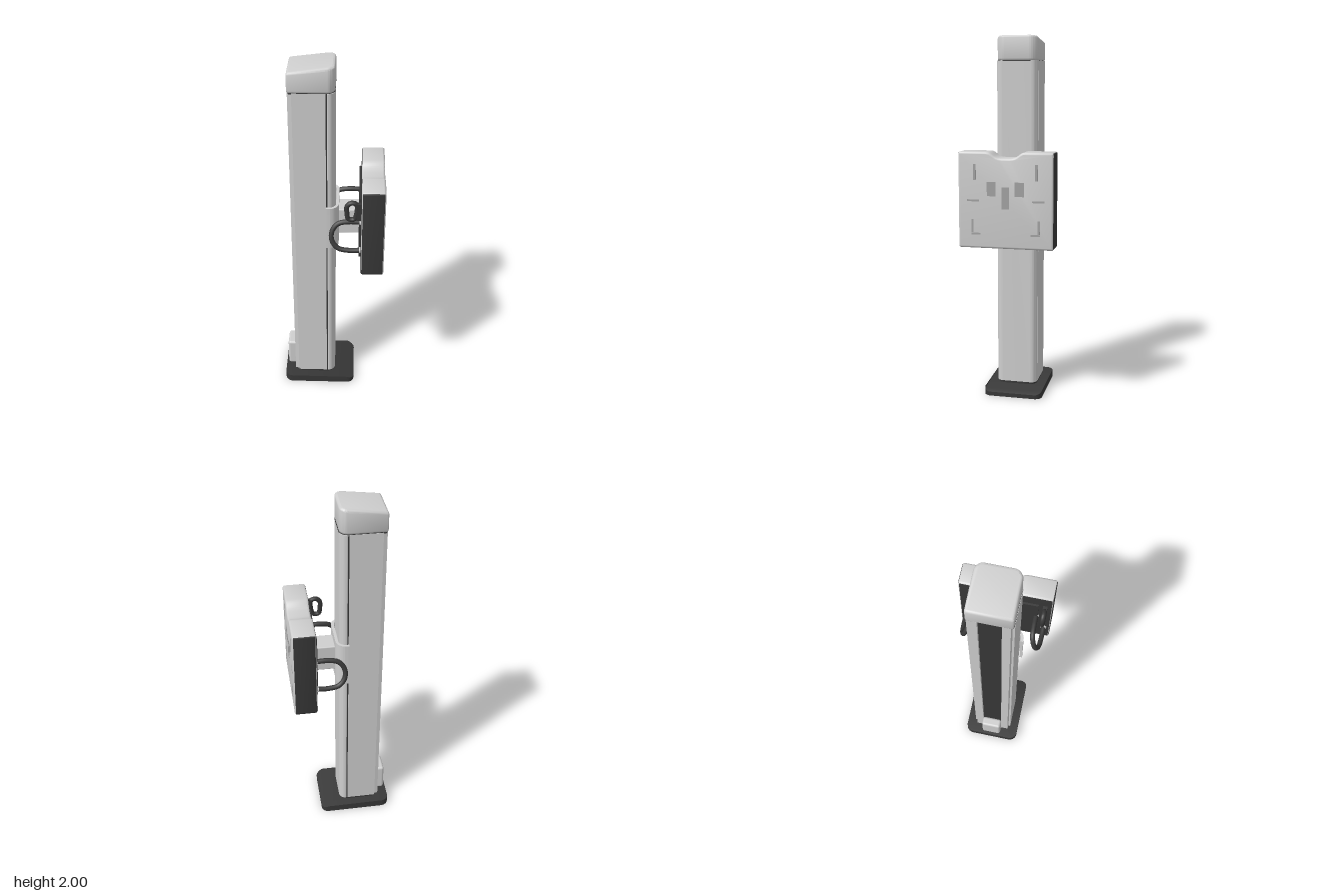
import * as THREE from 'three';
import { toCreasedNormals } from 'three/addons/utils/BufferGeometryUtils.js';
import { RoundedBoxGeometry } from 'three/addons/geometries/RoundedBoxGeometry.js';

const light = new THREE.MeshStandardMaterial({ color: 0xcfcfcf });
light.name = 'light grey paint';
const dark = new THREE.MeshStandardMaterial({ color: 0x383838 });
dark.name = 'dark grey plastic';
const mid = new THREE.MeshStandardMaterial({ color: 0xa4a4a4 });
mid.name = 'mid grey markings';

// Plan outline with separate corner radii at the -x and +x ends
function plan(x0, x1, w, rBack, rFront) {
  const s = new THREE.Shape();
  s.moveTo(x0 + rBack, -w);
  s.lineTo(x1 - rFront, -w);
  s.absarc(x1 - rFront, -w + rFront, rFront, -Math.PI / 2, 0);
  s.lineTo(x1, w - rFront);
  s.absarc(x1 - rFront, w - rFront, rFront, 0, Math.PI / 2);
  s.lineTo(x0 + rBack, w);
  s.absarc(x0 + rBack, w - rBack, rBack, Math.PI / 2, Math.PI);
  s.lineTo(x0, -w + rBack);
  s.absarc(x0 + rBack, -w + rBack, rBack, Math.PI, Math.PI * 1.5);
  return s;
}

// Extrude a plan outline upward between two heights, with an optional bevel
function rise(shape, y0, y1, bevel = 0) {
  const g = new THREE.ExtrudeGeometry(shape, {
    depth: y1 - y0 - 2 * bevel, curveSegments: 10, bevelEnabled: bevel > 0,
    bevelSize: bevel, bevelOffset: -bevel, bevelThickness: bevel, bevelSegments: 3,
  });
  return g.rotateX(-Math.PI / 2).translate(0, y0 + bevel, 0);
}

// Move each vertex height by a rule
function reshapeY(g, rule) {
  const p = g.attributes.position;
  for (let i = 0; i < p.count; i++) p.setY(i, rule(p.getX(i), p.getY(i)));
  return g;
}

export function createModel() {
  const model = new THREE.Group();
  const add = (name, geometry, material, x = 0, y = 0, z = 0) => {
    const m = new THREE.Mesh(geometry, material);
    m.name = name;
    m.position.set(x, y, z);
    model.add(m);
    return m;
  };
  const smooth = (g) => toCreasedNormals(g, 0.6);

  // Floor plate with a sloping toe, and the plinth under the column
  const base = reshapeY(rise(plan(-0.28, 0.13, 0.164, 0.045, 0.04), 0, 0.043),
    (x, y) => (y > 0.03 && x > 0.085 ? y - (x - 0.085) * 0.45 : y));
  add('basePlate', smooth(base), dark);
  add('columnPlinth', smooth(rise(plan(-0.2, 0.013, 0.112, 0.01, 0.045), 0.04, 0.056)), dark);

  // Column: rear channel section and rounded front section with a fine joint between
  const rear = new THREE.Shape();
  [[-0.032, -0.115], [-0.032, 0.115], [-0.2, 0.115], [-0.2, 0.104], [-0.222, 0.1], [-0.222, 0.058],
    [-0.18, 0.058], [-0.18, -0.058], [-0.222, -0.058], [-0.222, -0.1], [-0.2, -0.104], [-0.2, -0.115]]
    .forEach(([x, z], i) => (i ? rear.lineTo(x, z) : rear.moveTo(x, z)));
  add('columnRear', smooth(rise(rear, 0.052, 1.865)), light);
  add('columnJoint', new THREE.BoxGeometry(0.012, 1.81, 0.222), dark, -0.029, 0.957, 0);
  add('columnFront', smooth(rise(plan(-0.025, 0.015, 0.115, 0.002, 0.036), 0.052, 1.865)), light);
  add('rearChannelLining', new THREE.BoxGeometry(0.03, 1.81, 0.115), dark, -0.192, 0.957, 0);

  // Column cap, its top sloping up toward the front
  const cap = reshapeY(rise(plan(-0.225, 0.016, 0.113, 0.012, 0.045), 1.862, 2, 0.014),
    (x, y) => (y > 1.9 ? y - 0.03 * THREE.MathUtils.clamp((0.016 - x) / 0.241, 0, 1) : y));
  add('columnCap', smooth(cap), light);
  add('capSeam', rise(plan(-0.218, 0.0158, 0.1135, 0.01, 0.045), 1.861, 1.866), dark);

  // Cable box low on the rear
  add('rearBox', new RoundedBoxGeometry(0.055, 0.165, 0.116, 3, 0.014), light, -0.24, 0.133, 0);

  // Carriage wrapping the front of the column, and its arm
  const wrap = new THREE.Shape();
  wrap.moveTo(-0.033, -0.135);
  wrap.lineTo(-0.02, -0.135);
  wrap.absarc(-0.02, -0.08, 0.055, -Math.PI / 2, 0);
  wrap.lineTo(0.035, 0.08);
  wrap.absarc(-0.02, 0.08, 0.055, 0, Math.PI / 2);
  wrap.lineTo(-0.033, 0.135);
  wrap.lineTo(-0.033, 0.12);
  wrap.lineTo(-0.02, 0.12);
  wrap.absarc(-0.02, 0.08, 0.04, Math.PI / 2, 0, true);
  wrap.lineTo(0.02, -0.08);
  wrap.absarc(-0.02, -0.08, 0.04, 0, -Math.PI / 2, true);
  wrap.lineTo(-0.033, -0.12);
  add('carriage', smooth(rise(wrap, 0.97, 1.22)), light);
  add('carriageArm', new RoundedBoxGeometry(0.14, 0.15, 0.118, 2, 0.006), light, 0.092, 1.095, 0);

  // Detector panel with a chin dip in its top edge
  const W = 0.255, B = 0.88, T = 1.39, r = 0.012;
  const face = new THREE.Shape();
  face.moveTo(-W + r, B);
  face.lineTo(W - r, B);
  face.quadraticCurveTo(W, B, W, B + r);
  face.lineTo(W, T - r);
  face.quadraticCurveTo(W, T, W - r, T);
  face.lineTo(0.105, T);
  face.bezierCurveTo(0.07, T, 0.07, T - 0.033, 0.02, T - 0.033);
  face.lineTo(-0.02, T - 0.033);
  face.bezierCurveTo(-0.07, T - 0.033, -0.07, T, -0.105, T);
  face.lineTo(-W + r, T);
  face.quadraticCurveTo(-W, T, -W, T - r);
  face.lineTo(-W, B + r);
  face.quadraticCurveTo(-W, B, -W + r, B);
  const panel = smooth(new THREE.ExtrudeGeometry(face, {
    depth: 0.101, curveSegments: 8, bevelSize: 0.012, bevelOffset: -0.012,
    bevelThickness: 0.012, bevelSegments: 3,
  }).rotateY(Math.PI / 2).translate(0.167, 0, 0));
  // Dark on the sides and rear, light elsewhere
  panel.clearGroups();
  const p = panel.attributes.position, tri = new THREE.Triangle(), n = new THREE.Vector3();
  for (let i = 0; i < p.count; i += 3) {
    tri.setFromAttributeAndIndices(p, i, i + 1, i + 2).getNormal(n);
    panel.addGroup(i, 3, Math.abs(n.z) > 0.75 || n.x < -0.75 ? 1 : 0);
  }
  add('detectorPanel', panel, [light, dark]);
  add('panelRearPlate', new THREE.BoxGeometry(0.014, 0.36, 0.36), dark, 0.151, 1.13, 0);

  // Thin markings on the panel face: [y, z, height, width], mirrored
  const mark = (y, z, h, w) => add('faceMarking', new THREE.BoxGeometry(0.003, h, w), mid, 0.28, y, z);
  for (const s of [-1, 1]) {
    for (const [y, z, h, w] of [[1.197, 0.075, 0.075, 0.048], [1.285, 0.165, 0.085, 0.014],
      [1.135, 0.175, 0.01, 0.065], [1.0, 0.178, 0.07, 0.012], [0.958, 0.16, 0.01, 0.05]]) mark(y, z * s, h, w);
  }
  mark(1.15, 0, 0.115, 0.04);

  // Looped grab handles, leaning outward toward the bottom, with end collars
  for (const s of [-1, 1]) {
    const pts = [new THREE.Vector3(0.16, 1.165, 0.172 * s), new THREE.Vector3(0.09, 1.167, 0.172 * s)];
    for (let i = 1; i < 6; i++) {
      const a = (i / 6) * Math.PI;
      pts.push(new THREE.Vector3(0.075 - 0.077 * Math.sin(a), 1.092 + 0.075 * Math.cos(a),
        (0.196 - 0.024 * Math.cos(a)) * s));
    }
    pts.push(new THREE.Vector3(0.09, 1.017, 0.22 * s), new THREE.Vector3(0.16, 1.019, 0.22 * s));
    add('grabHandle', new THREE.TubeGeometry(new THREE.CatmullRomCurve3(pts), 48, 0.0135, 12), dark);
    for (const [y, z] of [[1.165, 0.172], [1.019, 0.22]]) {
      add('handleCollar', new THREE.CylinderGeometry(0.016, 0.016, 0.01, 16).rotateZ(Math.PI / 2), light, 0.151, y, z * s);
    }
  }

  // Small release handle on the left side only
  const loop = [[0.15, 1.225], [0.118, 1.212], [0.088, 1.213], [0.08, 1.25], [0.08, 1.288], [0.1, 1.308], [0.128, 1.302], [0.132, 1.26], [0.15, 1.225]]
    .slice(1, 8).map(([x, y]) => new THREE.Vector3(x, y, 0.215));
  add('releaseHandle', new THREE.TubeGeometry(new THREE.CatmullRomCurve3(loop, true), 48, 0.013, 10), dark);
  add('releaseMount', new THREE.BoxGeometry(0.03, 0.1, 0.024), dark, 0.146, 1.257, 0.215);

  return model;
}
